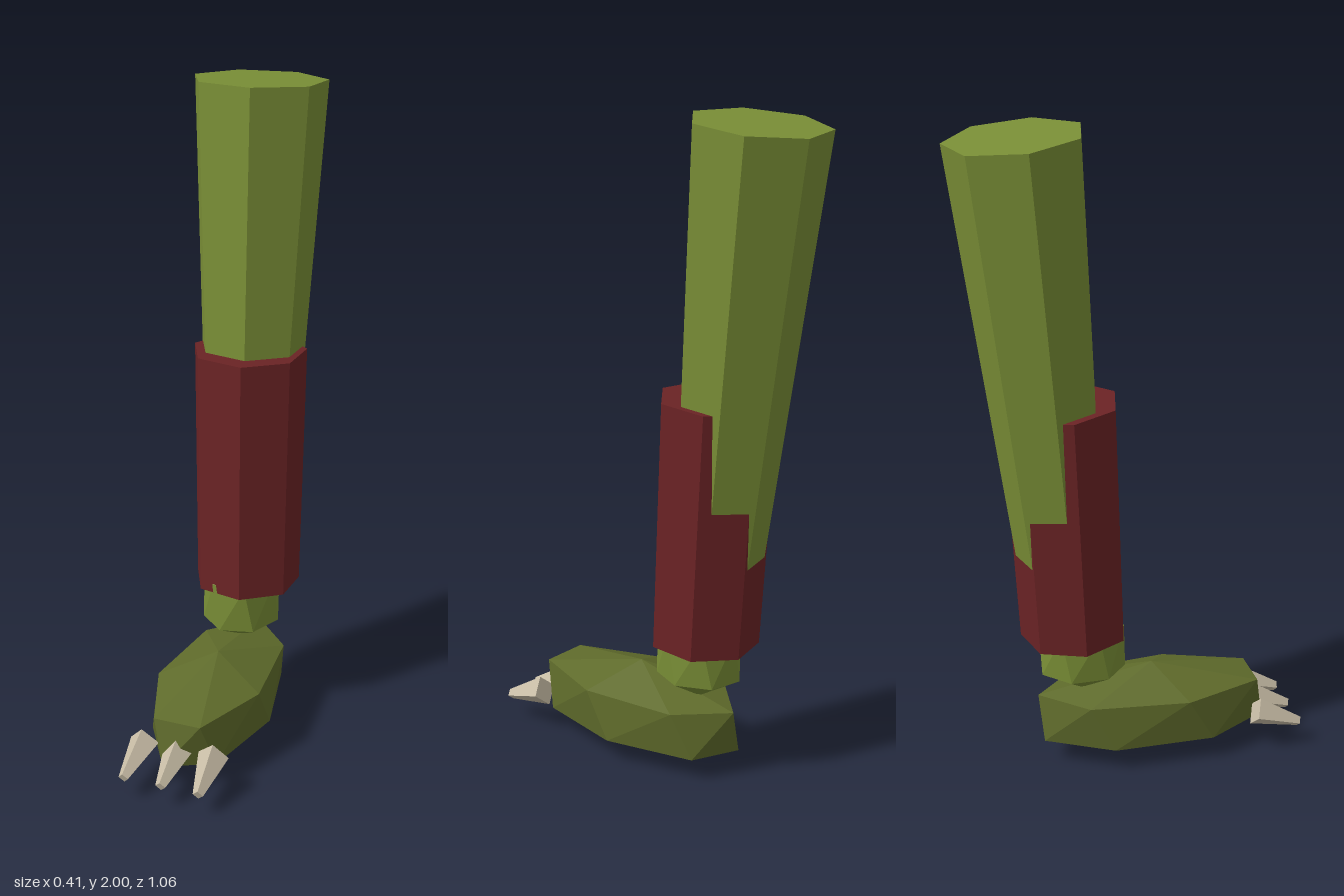
import * as THREE from 'three';
import { ConvexGeometry } from 'three/addons/geometries/ConvexGeometry.js';

const mat = (name, color) => {
  const m = new THREE.MeshStandardMaterial({ color, flatShading: true });
  m.name = name;
  return m;
};

// Tapered prism from point a (radius ra) up to point b (radius rb)
function taper(name, material, a, b, ra, rb, sides, start) {
  const from = new THREE.Vector3(...a), to = new THREE.Vector3(...b);
  const axis = to.clone().sub(from);
  const geo = new THREE.CylinderGeometry(rb, ra, axis.length(), sides, 1, false, start);
  const mesh = new THREE.Mesh(geo, material);
  mesh.position.copy(from).add(to).multiplyScalar(0.5);
  mesh.quaternion.setFromUnitVectors(new THREE.Vector3(0, 1, 0), axis.normalize());
  mesh.name = name;
  return mesh;
}

// Faceted lump: two seven-sided rings, the lower one twisted, closed by two poles
function lump(name, material, [cx, cy, cz], rx, rz, half) {
  const points = [new THREE.Vector3(cx, cy + half, cz), new THREE.Vector3(cx, cy - half, cz)];
  for (const [dy, start] of [[0.5, -Math.PI / 7], [-0.5, -0.21]]) {
    for (let i = 0; i < 7; i++) {
      const t = start + (i * Math.PI * 2) / 7;
      points.push(new THREE.Vector3(cx + rx * Math.sin(t), cy + dy * half, cz + rz * Math.cos(t)));
    }
  }
  const mesh = new THREE.Mesh(new ConvexGeometry(points), material);
  mesh.name = name;
  return mesh;
}

export function createModel() {
  const skin = mat('olive green', 0x7a8f36);
  const footSkin = mat('dark olive', 0x5f6b2b);
  const cloth = mat('maroon', 0x6b2325);
  const horn = mat('bone', 0xc8bda6);

  const model = new THREE.Group();
  model.name = 'clawedLeg';

  // Leg leaning back, with the wrap around its lower half
  model.add(taper('leg', skin, [0.022, 0.42, -0.185], [0, 1.983, -0.333], 0.124, 0.205, 7, -Math.PI / 2));
  model.add(taper('shinWrap', cloth, [0.031, 0.425, -0.172], [0.02, 1.183, -0.208], 0.166, 0.177, 7, -Math.PI / 2));

  // Ankle and foot
  model.add(lump('ankle', skin, [0.025, 0.383, -0.152], 0.12, 0.135, 0.15));
  model.add(lump('foot', footSkin, [0.033, 0.148, 0.073], 0.17, 0.363, 0.142));

  // Three slightly splayed claws
  for (const side of [-1, 0, 1]) {
    model.add(taper('claw', horn,
      [0.033 + side * 0.111, 0.128, 0.385], [0.033 + side * 0.119, 0.077, 0.527], 0.047, 0.016, 4, 0));
  }
  return model;
}
